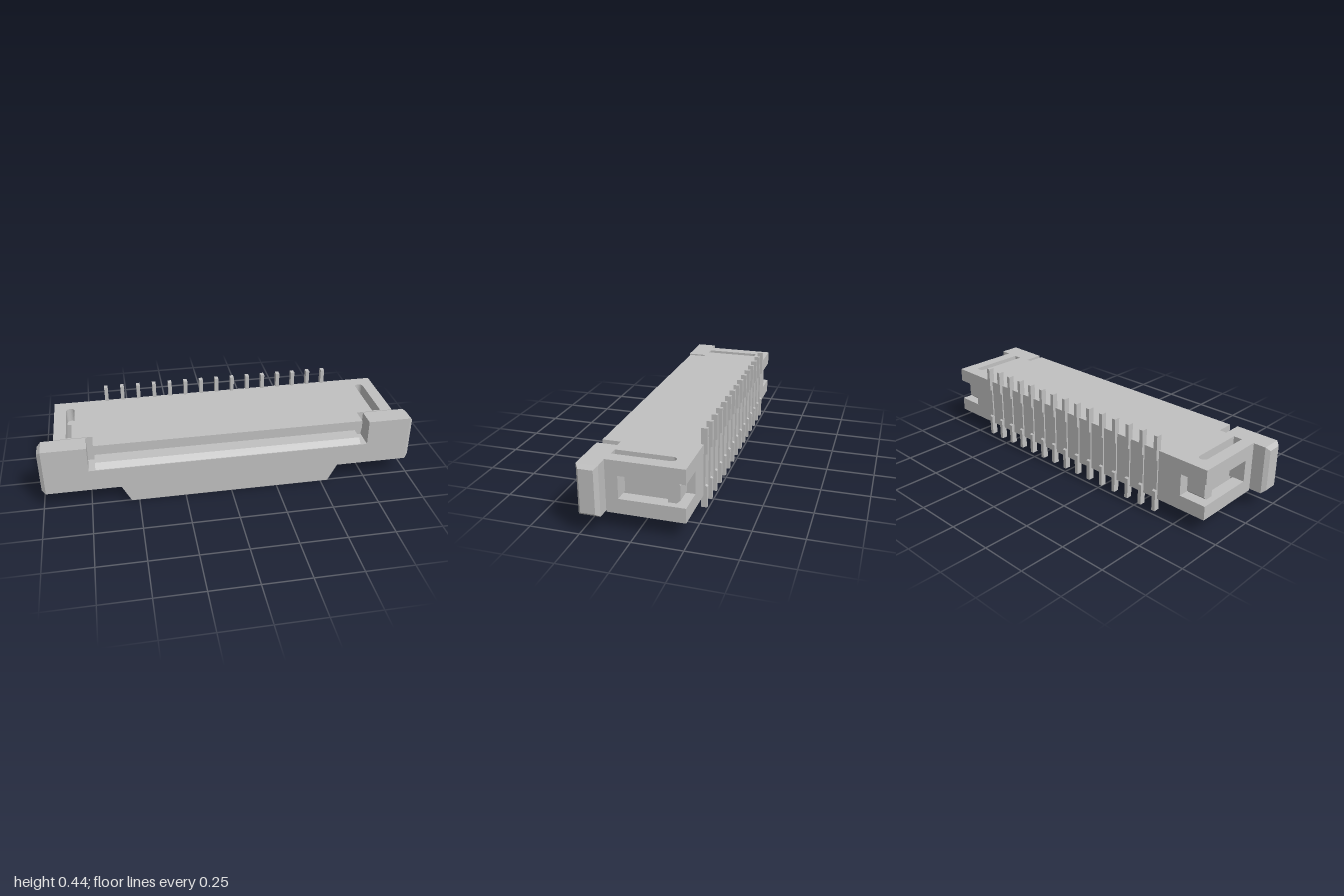
import * as THREE from 'three';

export function createModel() {
  const model = new THREE.Group();
  const grey = new THREE.MeshStandardMaterial({ color: 0xc0c0c0 });
  grey.name = 'light grey';

  const add = (geometry, name, parent = model) => {
    const mesh = new THREE.Mesh(geometry, grey);
    mesh.name = name;
    parent.add(mesh);
    return mesh;
  };
  const outline = (points) => new THREE.Shape(points.map(([a, b]) => new THREE.Vector2(a, b)));
  const extrude = (shape, depth) =>
    new THREE.ExtrudeGeometry(shape, { depth, bevelEnabled: false, curveSegments: 8 });
  // (x, z) outline standing between two heights
  const layer = (shape, y0, y1) => extrude(shape, y1 - y0).rotateX(Math.PI / 2).translate(0, y1, 0);
  // (z, y) outline running across x, centred on x = 0
  const across = (shape, width) => extrude(shape, width).rotateY(-Math.PI / 2).translate(width / 2, 0, 0);
  // right half of an (x, z) outline, mirrored to a full one
  const mirrored = (half) => outline([...half, ...half.map(([x, z]) => [-x, z]).reverse()]);

  // Housing, stacked in layers around the cable slot and the side pockets
  const housing = new THREE.Group();
  housing.name = 'housing';
  model.add(housing);
  const back = -0.235, front = 0.148, side = 0.915, slotX = 0.715, slotBack = -0.1;
  const plain = [[side, back], [side, front]];
  const pocket = [[0.77, back], [0.77, 0.087], [side, 0.087], [side, front]];
  const notch = [[slotX, front], [slotX, slotBack]];
  const nose = [[slotX, front], [slotX, 0.24]];

  const withGrooves = (shape) => {
    for (const s of [-1, 1]) {
      const hole = new THREE.Path();
      hole.moveTo(s * 0.828 - 0.023, 0.14);
      hole.lineTo(s * 0.828 - 0.023, -0.142);
      hole.absarc(s * 0.828, -0.142, 0.023, Math.PI, Math.PI * 2, false);
      hole.lineTo(s * 0.828 + 0.023, 0.14);
      hole.closePath();
      shape.holes.push(hole);
    }
    return shape;
  };
  add(layer(withGrooves(mirrored(plain)), 0.087, 0.162), 'housingFloor', housing);
  add(layer(mirrored(pocket), 0.162, 0.213), 'housingCore', housing);
  add(layer(mirrored([...pocket, ...notch]), 0.213, 0.278), 'housingSlotWalls', housing);
  add(layer(withGrooves(mirrored([...plain, ...notch])), 0.278, 0.3), 'housingSlotRoof', housing);
  add(layer(withGrooves(mirrored([...plain, ...nose])), 0.3, 0.353), 'housingTop', housing);

  // Sliding lock: U-shaped front frame with a keel below
  const slider = new THREE.Group();
  slider.name = 'slider';
  model.add(slider);
  const frame = mirrored([[0.54, 0], [0.59, 0.095], [0.98, 0.095], [0.98, 0.35], [0.75, 0.35], [0.75, 0.213]]);
  add(extrude(frame, 0.107).translate(0, 0, 0.148), 'sliderFrame', slider);

  // Tongue entering the slot, with a sloped lead-in
  const tongue = outline([[-0.09, 0.213], [0.25, 0.213], [0.22, 0.238], [-0.09, 0.238]]);
  add(across(tongue, 1.43), 'sliderTongue', slider);

  for (const s of [-1, 1]) {
    // Chamfered end caps
    const cap = new THREE.BoxGeometry(0.02, 0.255, 0.107);
    const p = cap.attributes.position;
    for (let i = 0; i < p.count; i++) {
      if (p.getX(i) * s > 0) {
        p.setY(i, p.getY(i) - Math.sign(p.getY(i)) * 0.018);
        p.setZ(i, p.getZ(i) - Math.sign(p.getZ(i)) * 0.017);
      }
    }
    cap.computeVertexNormals();
    cap.translate(s * 0.99, 0.2225, 0.2015);
    add(cap, 'sliderEndCap', slider);

    // Latch arms with a hooked tip inside the side pockets
    const arm = outline([[0.785, 0.1], [0.83, 0.1], [0.83, -0.125], [0.885, -0.14],
      [0.885, -0.182], [0.785, -0.182]].map(([x, z]) => [s * x, z]));
    add(layer(arm, 0.165, 0.273), 'latchArm', slider);

    // Tapered latch tip
    const tip = new THREE.BoxGeometry(0.1, 0.108, 0.018);
    const t = tip.attributes.position;
    for (let i = 0; i < t.count; i++) {
      if (t.getZ(i) < 0) t.setY(i, t.getY(i) * 0.68);
    }
    tip.computeVertexNormals();
    tip.translate(s * 0.835, 0.219, -0.191);
    add(tip, 'latchTip', slider);
  }

  // Row of solder pins and the contact blades inside the slot
  const pinProfile = outline([[-0.222, 0.023], [-0.253, 0.023], [-0.253, 0.134], [-0.243, 0.14],
    [-0.243, 0.3], [-0.253, 0.305], [-0.253, 0.435], [-0.222, 0.435]]);
  const pinGeometry = across(pinProfile, 0.02);
  const bladeGeometry = new THREE.BoxGeometry(0.02, 0.008, 0.14);
  for (let i = 0; i < 15; i++) {
    const x = -0.625 + (i * 1.25) / 14;
    add(pinGeometry, 'pin').position.x = x;
    add(bladeGeometry, 'contactBlade').position.set(x, 0.267, -0.04);
  }
  return model;
}
